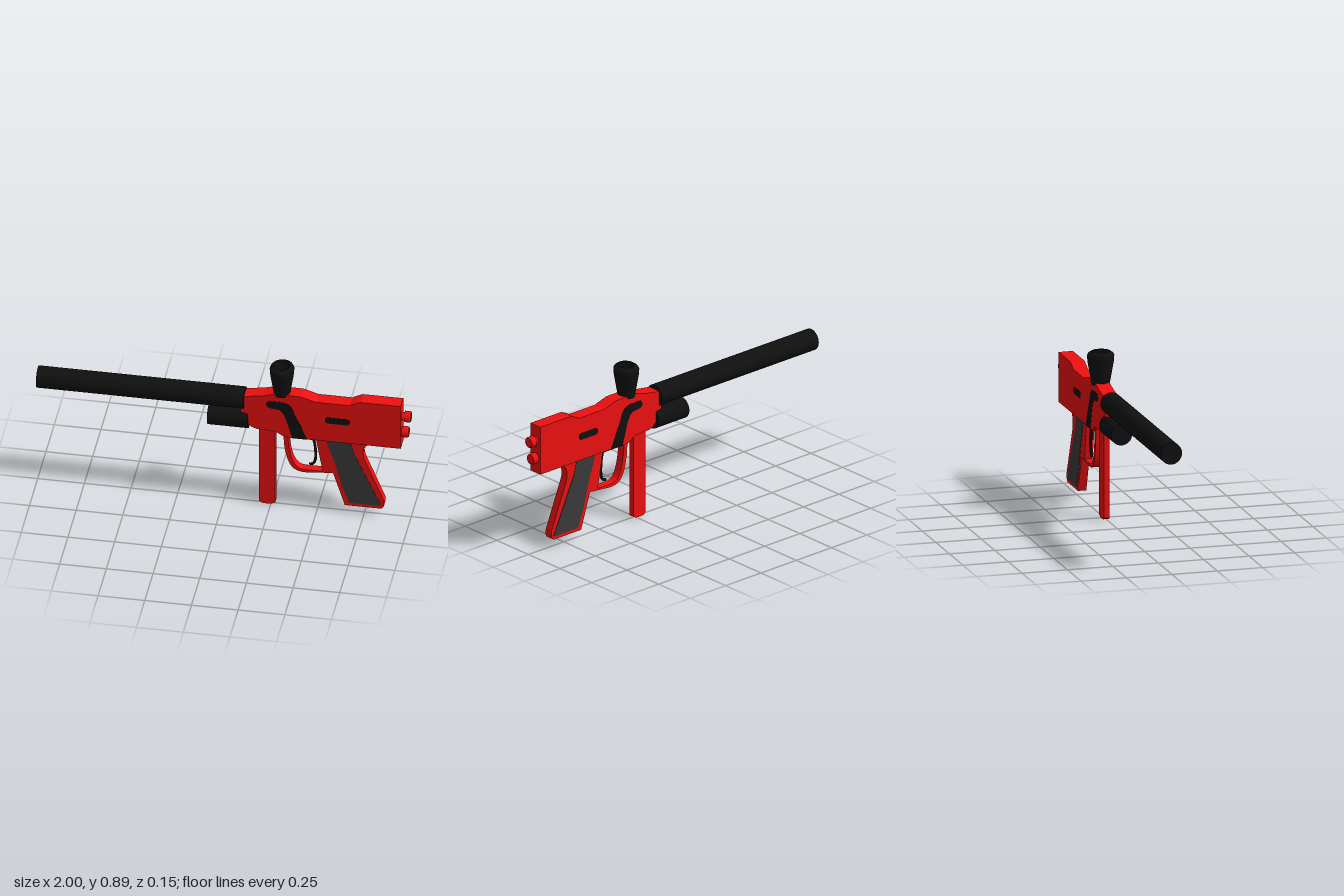
import * as THREE from 'three';

const mat = (color) => new THREE.MeshStandardMaterial({ color });
const red = mat(0xee1010), black = mat(0x101010), grey = mat(0x3a3a3a);
const Z = -0.001; // shared mid-plane

const pts = (list) => list.map(([x, y]) => new THREE.Vector2(x, y));

function add(group, name, geometry, material) {
  const mesh = new THREE.Mesh(geometry, material);
  mesh.name = name;
  group.add(mesh);
  return mesh;
}

// Side profile extruded symmetrically about the mid-plane
function slab(shape, half) {
  const g = new THREE.ExtrudeGeometry(shape, { depth: half * 2, bevelEnabled: false, curveSegments: 10 });
  return g.translate(0, 0, Z - half);
}

// Cylinder lying along x
function rod(x0, x1, y, r, r1 = r) {
  const g = new THREE.CylinderGeometry(r1, r, x1 - x0, 32);
  return g.rotateZ(-Math.PI / 2).translate((x0 + x1) / 2, y, Z);
}

export function createModel() {
  const model = new THREE.Group();
  model.name = 'marker';

  // Barrel and the short tube beneath it
  add(model, 'barrel', rod(-1, 0.11, 0.657, 0.059), black).position.z = -0.002;
  add(model, 'lowerTube', rod(-0.085, 0.133, 0.533, 0.058), black).position.z = -0.002;

  // Receiver
  const body = new THREE.Shape(pts([
    [0.093, 0.588], [0.13, 0.583], [0.134, 0.52], [0.152, 0.502], [0.18, 0.492], [0.28, 0.487],
    [0.308, 0.47], [0.33, 0.458], [0.95, 0.458], [0.95, 0.73], [0.735, 0.73], [0.705, 0.717],
    [0.678, 0.702], [0.495, 0.702], [0.455, 0.715], [0.415, 0.727], [0.275, 0.727],
    [0.21, 0.708], [0.093, 0.69],
  ]));
  add(model, 'receiver', slab(body, 0.039), red);

  // Feed neck: open, slightly oval funnel
  const neck = new THREE.LatheGeometry(pts([
    [0.048, 0.712], [0.07, 0.835], [0.073, 0.87], [0.067, 0.882], [0.05, 0.893],
  ]), 32);
  const neckMat = mat(0x101010);
  neckMat.side = THREE.DoubleSide;
  const feed = add(model, 'feedNeck', neck, neckMat);
  feed.scale.x = 0.89;
  feed.position.set(0.308, 0, Z);

  // Front handle with clipped bottom corners
  const handle = new THREE.Shape(pts([
    [0.188, 0.5], [0.188, 0.012], [0.205, 0.002], [0.23, 0], [0.255, 0.002], [0.274, 0.012], [0.274, 0.5],
  ]));
  add(model, 'frontHandle', slab(handle, 0.016), red).position.z = -0.002;

  // Grip frame with trigger opening
  const frame = new THREE.Shape();
  frame.moveTo(0.318, 0.47);
  frame.lineTo(0.325, 0.38);
  frame.bezierCurveTo(0.345, 0.26, 0.37, 0.233, 0.44, 0.232);
  frame.lineTo(0.585, 0.246);
  frame.lineTo(0.648, 0.047);
  frame.lineTo(0.84, 0.047);
  frame.quadraticCurveTo(0.865, 0.055, 0.857, 0.1);
  frame.lineTo(0.757, 0.345);
  frame.bezierCurveTo(0.735, 0.4, 0.745, 0.44, 0.8, 0.47);
  frame.closePath();
  const opening = new THREE.Path();
  opening.moveTo(0.343, 0.445);
  opening.lineTo(0.495, 0.445);
  opening.lineTo(0.515, 0.33);
  opening.lineTo(0.53, 0.25);
  opening.lineTo(0.43, 0.25);
  opening.bezierCurveTo(0.38, 0.252, 0.355, 0.3, 0.343, 0.445);
  frame.holes.push(opening);
  add(model, 'gripFrame', slab(frame, 0.0225), red);

  // Grip panels, proud on both sides
  const panel = new THREE.Shape(pts([
    [0.545, 0.457], [0.68, 0.457], [0.688, 0.42], [0.70, 0.376], [0.845, 0.065],
    [0.672, 0.065], [0.635, 0.16], [0.592, 0.32],
  ]));
  add(model, 'gripPanels', slab(panel, 0.0245), grey);

  // Trigger
  const triggerPath = new THREE.CatmullRomCurve3([
    [0.45, 0.46], [0.475, 0.435], [0.487, 0.37], [0.486, 0.305], [0.475, 0.28], [0.456, 0.273],
  ].map(([x, y]) => new THREE.Vector3(x, y, Z)));
  add(model, 'trigger', new THREE.TubeGeometry(triggerPath, 24, 0.0075, 8), black);

  // Curved inlay on both sides of the receiver
  const inlay = new THREE.Shape();
  inlay.moveTo(0.25, 0.679);
  inlay.lineTo(0.32, 0.679);
  inlay.quadraticCurveTo(0.36, 0.672, 0.375, 0.63);
  inlay.quadraticCurveTo(0.385, 0.595, 0.41, 0.55);
  inlay.lineTo(0.45, 0.456);
  inlay.lineTo(0.37, 0.456);
  inlay.lineTo(0.345, 0.54);
  inlay.quadraticCurveTo(0.325, 0.622, 0.295, 0.63);
  inlay.lineTo(0.25, 0.635);
  inlay.quadraticCurveTo(0.226, 0.645, 0.23, 0.662);
  inlay.quadraticCurveTo(0.235, 0.677, 0.25, 0.679);
  add(model, 'sideInlay', slab(inlay, 0.0405), black);

  // Rounded slot
  const slot = new THREE.Shape();
  slot.absarc(0.66, 0.593, 0.019, -Math.PI / 2, Math.PI / 2);
  slot.absarc(0.563, 0.593, 0.019, Math.PI / 2, Math.PI * 1.5);
  add(model, 'sideSlot', slab(slot, 0.0405), black);

  // Rear knobs: neck, head and tapered cap
  for (const [y, end] of [[0.642, 1], [0.543, 0.988]]) {
    const knob = new THREE.Group();
    knob.name = 'rearKnob';
    add(knob, 'knobNeck', rod(0.94, end - 0.03, y, 0.023), red);
    add(knob, 'knobHead', rod(end - 0.035, end - 0.006, y, 0.03), red);
    add(knob, 'knobCap', rod(end - 0.006, end, y, 0.03, 0.026), red);
    model.add(knob);
  }
  return model;
}
